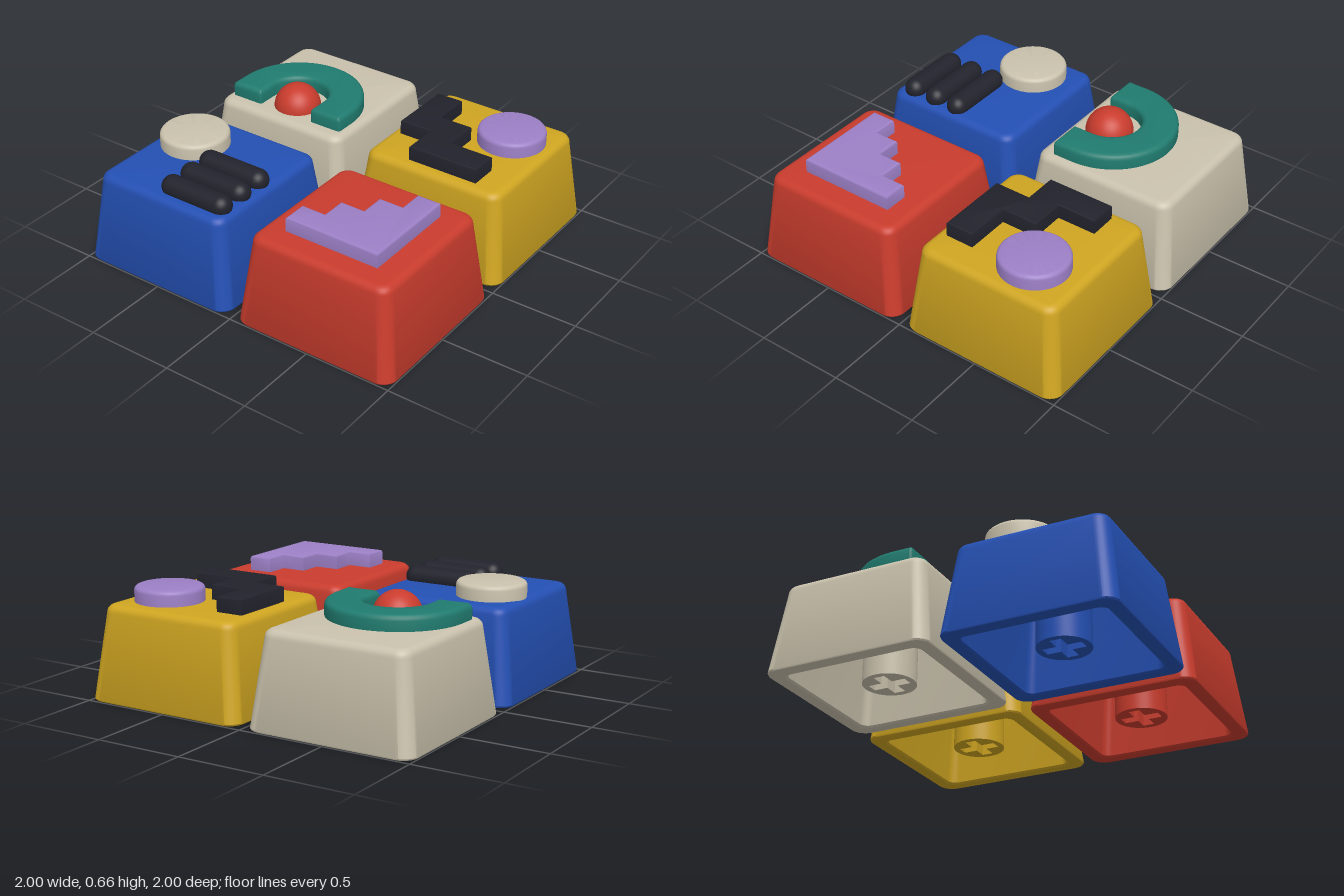
import * as THREE from 'three';
import { toCreasedNormals } from 'three/addons/utils/BufferGeometryUtils.js';

const TOP = 0.53;       // height of a cap's flat top
const ICON_TOP = 0.615; // height of the raised shapes

const mat = (name, color) => {
  const m = new THREE.MeshStandardMaterial({ color });
  m.name = name;
  return m;
};

const mesh = (name, geometry, material, x = 0, y = 0, z = 0) => {
  const m = new THREE.Mesh(geometry, material);
  m.name = name;
  m.position.set(x, y, z);
  return m;
};

// Points of a square with rounded corners: half width w, corner radius r
function roundedSquare(w, r, seg = 8) {
  const pts = [];
  for (let c = 0; c < 4; c++) {
    const mid = (c + 0.5) * Math.PI / 2;
    const cx = Math.sign(Math.cos(mid)) * (w - r), cz = Math.sign(Math.sin(mid)) * (w - r);
    for (let i = 0; i <= seg; i++) {
      const a = (c + i / seg) * Math.PI / 2;
      pts.push([cx + r * Math.cos(a), cz + r * Math.sin(a)]);
    }
  }
  return pts;
}

// Hollow cap: square rings from the inner ceiling, round the rim, up to the top
function capGeometry() {
  const rings = [[0, 0.45, 0], [0.35, 0.45, 0.03], [0.36, 0.44, 0.04], [0.40, 0.01, 0.05], [0.41, 0, 0.05],
    [0.472, 0, 0.075], [0.481, 0.004, 0.08], [0.485, 0.013, 0.08]];
  const bevel = 0.045;
  for (let i = 0; i <= 6; i++) {
    const a = i / 6 * Math.PI / 2;
    rings.push([0.38 + bevel * Math.cos(a), TOP - bevel + bevel * Math.sin(a), 0.04 + bevel * 0.7 * Math.cos(a)]);
  }
  rings.push([0, TOP, 0]);
  const pos = [], index = [];
  rings.forEach(([w, y, r]) => roundedSquare(w, r).forEach(([x, z]) => pos.push(x, y, z)));
  const n = pos.length / 3 / rings.length;
  for (let k = 0; k < rings.length - 1; k++) {
    for (let i = 0; i < n; i++) {
      const a = k * n + i, b = k * n + (i + 1) % n;
      if (k < rings.length - 2) index.push(a, a + n, b);
      if (k > 0 && k < rings.length - 2) index.push(b, a + n, b + n);
      if (k === 0) index.push(b, a + n, b + n);
      if (k === rings.length - 2) index.push(a, a + n, b);
    }
  }
  const g = new THREE.BufferGeometry();
  g.setAttribute('position', new THREE.Float32BufferAttribute(pos, 3));
  g.setIndex(index);
  return toCreasedNormals(g, 0.6);
}

// Extrude a plan shape (x, -z) upwards between two heights
function slab(shape, y0, y1, bevel) {
  const g = new THREE.ExtrudeGeometry(shape, {
    depth: y1 - y0 - 2 * bevel, bevelEnabled: bevel > 0, bevelThickness: bevel, bevelSize: bevel,
    bevelOffset: -bevel, bevelSegments: 4, curveSegments: 32,
  });
  g.rotateX(-Math.PI / 2).translate(0, y0 + bevel, 0);
  return toCreasedNormals(g, 0.6);
}

const planShape = (pts) => new THREE.Shape(pts.map(([x, z]) => new THREE.Vector2(x, -z)));

// Stem: round post with a cross-shaped socket
function stemGeometry() {
  const shape = new THREE.Shape().absarc(0, 0, 0.147, 0, Math.PI * 2);
  const l = 0.11, t = 0.032;
  const cross = [[l, t], [t, t], [t, l], [-t, l], [-t, t], [-l, t], [-l, -t], [-t, -t], [-t, -l], [t, -l], [t, -t], [l, -t]];
  shape.holes.push(new THREE.Path(cross.map(([x, y]) => new THREE.Vector2(x, y))));
  return slab(shape, 0.035, 0.46, 0);
}

// Round button with a softened top edge
function discGeometry(r) {
  const b = 0.025, pts = [new THREE.Vector2(r, TOP - 0.02)];
  for (let i = 0; i <= 5; i++) {
    const a = i / 5 * Math.PI / 2;
    pts.push(new THREE.Vector2(r - b + b * Math.cos(a), ICON_TOP - b + b * Math.sin(a)));
  }
  pts.push(new THREE.Vector2(0, ICON_TOP));
  return toCreasedNormals(new THREE.LatheGeometry(pts, 48), 0.6);
}

export function createModel() {
  const root = new THREE.Group();
  root.name = 'keycapSet';
  const blue = mat('blue', 0x2450b4), red = mat('red', 0xc93c2d), yellow = mat('yellow', 0xcfa521);
  const cream = mat('cream', 0xcac2ad), black = mat('black', 0x22222c);
  const purple = mat('purple', 0x9c80c6), teal = mat('teal', 0x207b6f);

  // Four caps with their stems
  const capGeo = capGeometry(), stemGeo = stemGeometry();
  const addCap = (name, material, sx, sz) => {
    const g = new THREE.Group();
    g.name = name;
    g.add(mesh('capShell', capGeo, material, sx * 0.515, 0, sz * 0.515));
    g.add(mesh('stem', stemGeo, material, sx * 0.515, 0, sz * 0.515));
    root.add(g);
    return g;
  };
  const creamCap = addCap('creamCap', cream, -1, -1);
  const yellowCap = addCap('yellowCap', yellow, 1, -1);
  const blueCap = addCap('blueCap', blue, -1, 1);
  const redCap = addCap('redCap', red, 1, 1);

  // Arch and ball
  const arch = new THREE.Shape();
  arch.moveTo(0.38, -0.105);
  arch.lineTo(0.38, 0);
  arch.absarc(0, 0, 0.38, 0, Math.PI, false);
  arch.lineTo(-0.38, -0.105);
  arch.quadraticCurveTo(-0.38, -0.125, -0.36, -0.125);
  arch.lineTo(-0.195, -0.125);
  arch.quadraticCurveTo(-0.175, -0.125, -0.175, -0.105);
  arch.lineTo(-0.175, 0);
  arch.absarc(0, 0, 0.175, Math.PI, 0, true);
  arch.lineTo(0.175, -0.105);
  arch.quadraticCurveTo(0.175, -0.125, 0.195, -0.125);
  arch.lineTo(0.36, -0.125);
  arch.quadraticCurveTo(0.38, -0.125, 0.38, -0.105);
  creamCap.add(mesh('arch', slab(arch, 0.48, ICON_TOP, 0.03), teal, -0.518, 0, -0.3));
  creamCap.add(mesh('ball', new THREE.SphereGeometry(0.135, 40, 24), red, -0.518, 0.527, -0.295));

  // Zigzag and disc
  const zigzag = planShape([[0.15, -0.755], [0.31, -0.755], [0.31, -0.53], [0.51, -0.53], [0.51, -0.32],
    [0.77, -0.32], [0.77, -0.155], [0.345, -0.155], [0.345, -0.365], [0.15, -0.365]]);
  yellowCap.add(mesh('zigzag', slab(zigzag, 0.49, ICON_TOP, 0.01), black));
  yellowCap.add(mesh('purpleDisc', discGeometry(0.192), purple, 0.697, 0, -0.657));

  // Disc and three bars
  blueCap.add(mesh('creamDisc', discGeometry(0.195), cream, -0.72, 0, 0.38));
  const barGeo = new THREE.CapsuleGeometry(0.063, 0.322, 10, 24).rotateZ(Math.PI / 2);
  for (let i = 0; i < 3; i++) {
    blueCap.add(mesh('bar', barGeo, black, -0.336, ICON_TOP - 0.063, 0.516 + i * 0.154));
  }

  // Staircase
  const stairs = [[0.79, 0.225], [0.79, 0.795], [0.225, 0.795]];
  for (let i = 0; i < 4; i++) {
    const x = 0.225 + i * 0.142, z = 0.651 - i * 0.142;
    stairs.push([x, z], [i < 3 ? x + 0.142 : 0.79, z]);
  }
  stairs.pop();
  stairs.shift();
  stairs.push([0.79, 0.225]);
  redCap.add(mesh('staircase', slab(planShape(stairs), 0.49, ICON_TOP, 0.015), purple));
  return root;
}
